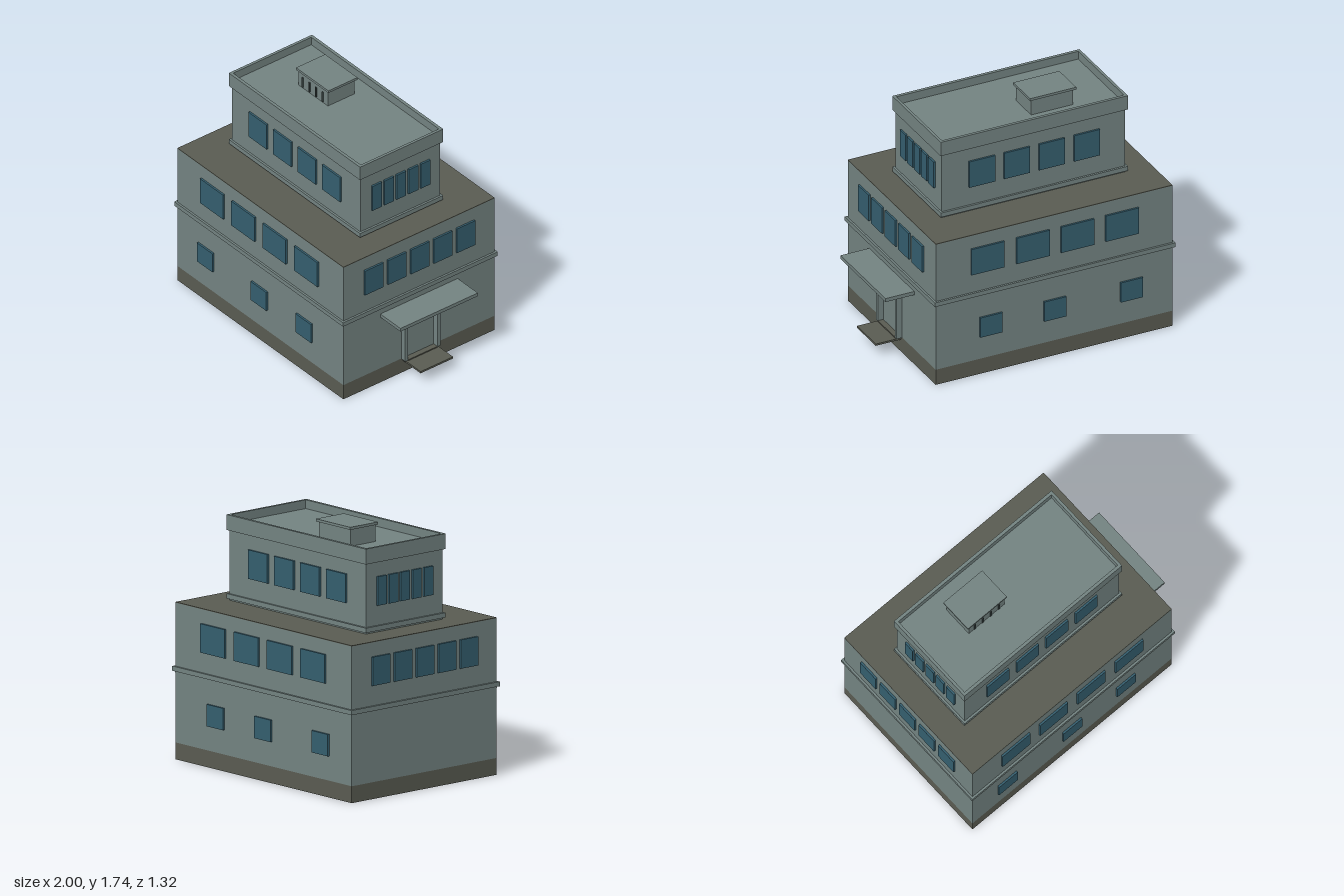
import * as THREE from 'three';

export function createModel() {
  const model = new THREE.Group();
  model.name = 'building';

  const mat = (name, color) => {
    const m = new THREE.MeshStandardMaterial({ color });
    m.name = name;
    return m;
  };
  const wall = mat('wall grey', 0x748482);
  const earth = mat('dark olive', 0x5a5c52);
  const glass = mat('window blue', 0x355f6f);
  const light = mat('canopy cyan', 0x2fb4c0);
  const dark = mat('slot grey', 0x3c4746);

  // Box given by its limits on each axis
  const box = (name, material, [x0, x1], [y0, y1], [z0, z1], parent = model) => {
    const mesh = new THREE.Mesh(new THREE.BoxGeometry(x1 - x0, y1 - y0, z1 - z0), material);
    mesh.position.set((x0 + x1) / 2, (y0 + y1) / 2, (z0 + z1) / 2);
    mesh.name = name;
    parent.add(mesh);
    return mesh;
  };

  // Lower two storeys
  box('plinth', earth, [-0.985, 0.785], [0, 0.115], [-0.645, 0.645]);
  box('lowerWalls', wall, [-0.985, 0.785], [0.115, 1.07], [-0.645, 0.645]);
  box('terraceRoof', earth, [-0.985, 0.785], [1.07, 1.075], [-0.645, 0.645]);
  box('floorBandLower', wall, [-0.985, 0.785], [0.592, 0.605], [-0.648, 0.648]);
  box('floorBand', wall, [-1, 0.8], [0.605, 0.637], [-0.66, 0.66]);

  // Top storey
  box('upperWalls', wall, [-0.785, 0.585], [1.075, 1.6], [-0.34, 0.34]);
  box('upperSkirting', wall, [-0.8, 0.6], [1.087, 1.12], [-0.355, 0.355]);

  // Parapet ring around the sunken roof
  const ring = new THREE.Shape();
  ring.moveTo(-0.8, -0.355).lineTo(0.6, -0.355).lineTo(0.6, 0.355).lineTo(-0.8, 0.355).closePath();
  const hole = new THREE.Path();
  hole.moveTo(-0.78, -0.333).lineTo(-0.78, 0.333).lineTo(0.58, 0.333).lineTo(0.58, -0.333).closePath();
  ring.holes.push(hole);
  const ringGeo = new THREE.ExtrudeGeometry(ring, { depth: 0.105, bevelEnabled: false });
  ringGeo.rotateX(-Math.PI / 2);
  const parapet = new THREE.Mesh(ringGeo, wall);
  parapet.position.y = 1.555;
  parapet.name = 'parapet';
  model.add(parapet);

  // Roof vent
  const vent = new THREE.Group();
  vent.name = 'roofVent';
  model.add(vent);
  box('ventBody', wall, [-0.47, -0.155], [1.6, 1.717], [-0.2, 0.025], vent);
  box('ventCap', wall, [-0.485, -0.14], [1.717, 1.735], [-0.215, 0.033], vent);
  for (let i = 0; i < 4; i++) {
    const x = -0.42 + i * 0.071;
    box('ventSlot', dark, [x - 0.006, x + 0.006], [1.61, 1.687], [0.025, 0.032], vent);
  }

  // Windows: rows along front and back, then along both ends
  const windows = new THREE.Group();
  windows.name = 'windows';
  model.add(windows);
  const longRow = (centres, width, y, z) => {
    for (const c of centres) {
      const x = [c - width / 2, c + width / 2];
      box('frontWindow', glass, x, y, [z, z + 0.014], windows);
      box('backWindow', glass, x, y, [-z - 0.014, -z], windows);
    }
  };
  const endRow = (pitch, width, y, x0, x1) => {
    for (let i = -2; i <= 2; i++) {
      const z = [i * pitch - width / 2, i * pitch + width / 2];
      box('leftWindow', glass, [x1, x1 + 0.014], y, z, windows);
      box('rightWindow', glass, [x0 - 0.014, x0], y, z, windows);
    }
  };
  longRow([-0.677, -0.104, 0.374], 0.165, [0.283, 0.433], 0.645);
  longRow([-0.605, -0.271, 0.063, 0.4], 0.247, [0.776, 0.973], 0.645);
  longRow([-0.496, -0.234, 0.027, 0.288], 0.193, [1.257, 1.455], 0.34);
  endRow(0.196, 0.156, [0.776, 0.973], -0.985, 0.785);
  endRow(0.1035, 0.08, [1.257, 1.455], -0.785, 0.585);

  // Entrance: frame, doorstep and lit canopy
  const entrance = new THREE.Group();
  entrance.name = 'entrance';
  model.add(entrance);
  for (const s of [-1, 1]) {
    const z = [0.125 * s, 0.15 * s].sort((a, b) => a - b);
    box('doorJamb', wall, [0.785, 0.825], [0.112, 0.508], z, entrance);
  }
  box('doorHead', wall, [0.785, 0.825], [0.49, 0.508], [-0.125, 0.125], entrance);
  box('doorLight', light, [0.825, 0.83], [0.495, 0.506], [-0.115, 0.115], entrance);
  box('doorstep', earth, [0.785, 0.975], [0.093, 0.107], [-0.138, 0.138], entrance);
  box('threshold', earth, [0.785, 0.825], [0.107, 0.115], [-0.125, 0.125], entrance);
  box('canopy', wall, [0.785, 1], [0.53, 0.556], [-0.33, 0.33], entrance);
  box('canopyLight', light, [0.79, 0.97], [0.518, 0.53], [-0.29, 0.29], entrance);

  return model;
}
